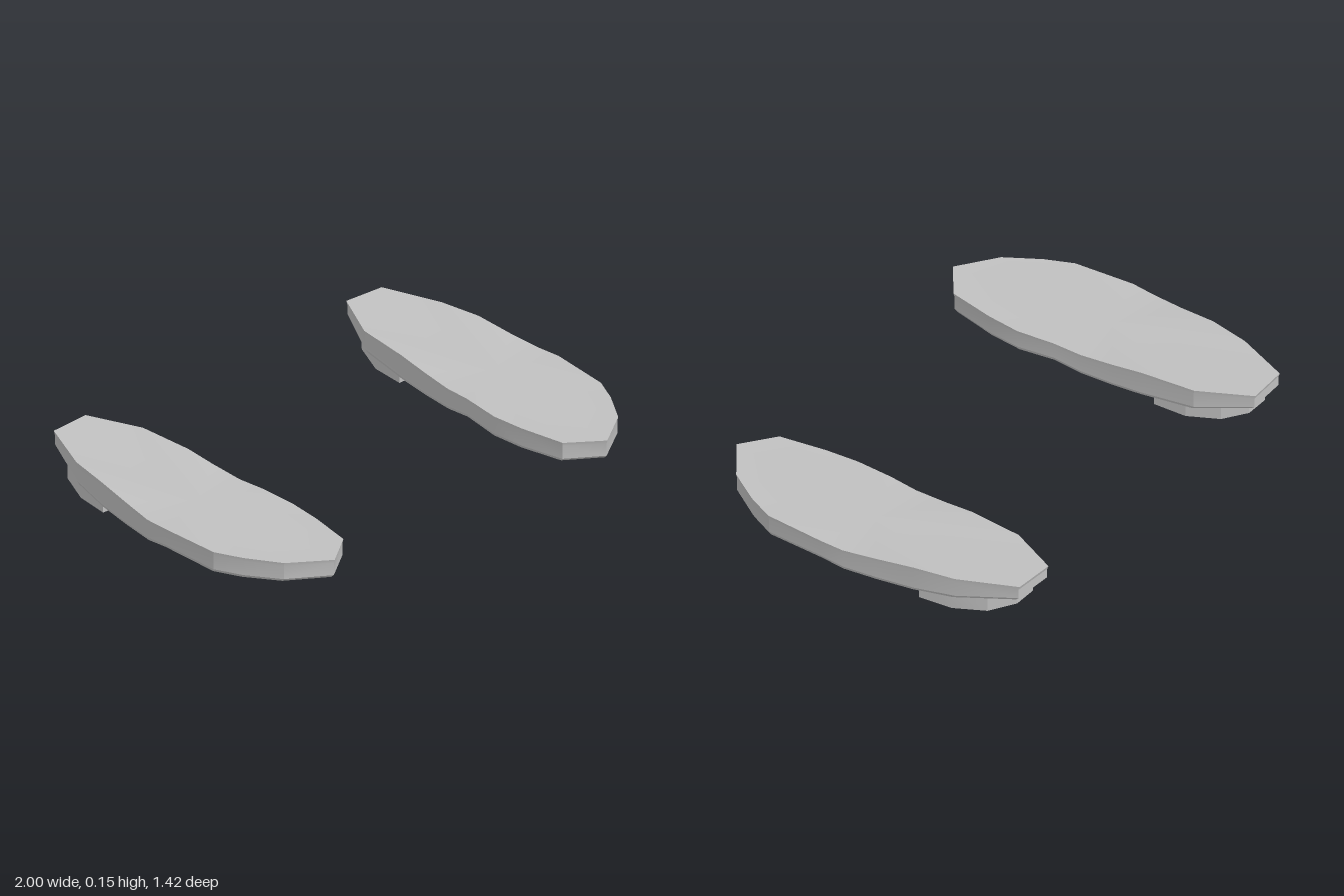
import * as THREE from 'three';
import { toCreasedNormals } from 'three/addons/utils/BufferGeometryUtils.js';

const grey = new THREE.MeshStandardMaterial({ color: 0xc0c0c0 });
grey.name = 'sole grey';

// plan outlines [x, z] of the left sole and heel, toe or front first, inner side next
const SOLE = [
  [0.69, 0.71], [0.555, 0.61], [0.52, 0.42], [0.507, 0.28], [0.518, 0.12], [0.525, 0], [0.533, -0.14],
  [0.54, -0.27], [0.56, -0.5], [0.66, -0.71], [0.83, -0.7], [0.925, -0.47], [0.957, -0.3],
  [0.975, -0.14], [0.993, 0], [0.998, 0.1], [0.98, 0.355], [0.93, 0.465], [0.845, 0.6],
];
const HEEL = [
  [0.565, -0.31], [0.572, -0.45], [0.62, -0.58], [0.69, -0.66],
  [0.79, -0.66], [0.87, -0.58], [0.92, -0.45], [0.935, -0.31],
];
// side profiles [z, y]
const TOP = [[-0.71, 0.155], [-0.5, 0.149], [-0.3, 0.148], [-0.14, 0.13], [0, 0.119], [0.12, 0.125], [0.3, 0.119], [0.71, 0.124]];
const BOTTOM = [[-0.71, 0.09], [-0.5, 0.06], [-0.31, 0.042], [-0.14, 0.032], [0, 0.031], [0.12, 0.046], [0.3, 0.033], [0.45, 0.034], [0.71, 0.045]];
const HEEL_BOTTOM = [[-0.67, 0.04], [-0.58, 0.016], [-0.48, 0.003], [-0.31, 0.002]];

// straight-line reading of a profile
function heightAt(profile, z) {
  let i = 1;
  while (i < profile.length - 1 && z > profile[i][0]) i++;
  const [z0, y0] = profile[i - 1], [z1, y1] = profile[i];
  return y0 + (y1 - y0) * THREE.MathUtils.clamp((z - z0) / (z1 - z0), 0, 1);
}

// ring of points following an outline, inset towards a centre
function ring(outline, height, inset, [cx, cz]) {
  return outline.map(([x, z]) => [cx + (x - cx) * inset, height(z), cz + (z - cz) * inset]);
}

// skin between rings from top to bottom, closed by a fan at each end
function slab(rings, topCentre, bottomCentre, side) {
  const n = rings[0].length, points = [...rings.flat(), topCentre, bottomCentre];
  const top = points.length - 2, bottom = points.length - 1, last = (rings.length - 1) * n;
  const index = [];
  const face = (a, b, c) => index.push(...(side > 0 ? [a, b, c] : [a, c, b]));
  for (let i = 0; i < n; i++) {
    const j = (i + 1) % n;
    face(top, j, i);
    face(bottom, last + i, last + j);
    for (let r = 0; r < rings.length - 1; r++) {
      const a = r * n + i, b = r * n + j;
      face(a, b, a + n);
      face(b, b + n, a + n);
    }
  }
  const geometry = new THREE.BufferGeometry();
  geometry.setAttribute('position', new THREE.Float32BufferAttribute(points.flatMap(([x, y, z]) => [x * side, y, z]), 3));
  geometry.setIndex(index);
  return toCreasedNormals(geometry, 0.3);
}

function makeShoeSole(side) {
  const group = new THREE.Group();
  const add = (name, geometry) => {
    const mesh = new THREE.Mesh(geometry, grey);
    mesh.name = name;
    group.add(mesh);
  };
  // waisted sole: upper rim, side band, slightly inset underside
  const mid = [0.755, 0.02];
  const upper = (z) => heightAt(TOP, z), lower = (z) => heightAt(BOTTOM, z);
  add('sole', slab([
    ring(SOLE, upper, 1, mid),
    ring(SOLE, (z) => upper(z) - 0.015, 0.993, mid),
    ring(SOLE, (z) => lower(z) + 0.012, 0.993, mid),
    ring(SOLE, lower, 0.975, mid),
  ], [0.755, 0.121, 0.02], [0.755, 0.033, 0.02], side));

  // heel block with a straight front and a back that curves upwards
  const heelMid = [0.75, -0.4];
  add('heel', slab([
    ring(HEEL, () => 0.1, 1, heelMid),
    ring(HEEL, (z) => heightAt(HEEL_BOTTOM, z), 1, heelMid),
  ], [0.75, 0.1, -0.4], [0.75, 0.001, -0.45], side));
  return group;
}

export function createModel() {
  const model = new THREE.Group();
  model.name = 'pair of shoe soles';
  for (const side of [1, -1]) {
    const sole = makeShoeSole(side);
    sole.name = side > 0 ? 'leftShoeSole' : 'rightShoeSole';
    model.add(sole);
  }
  return model;
}
